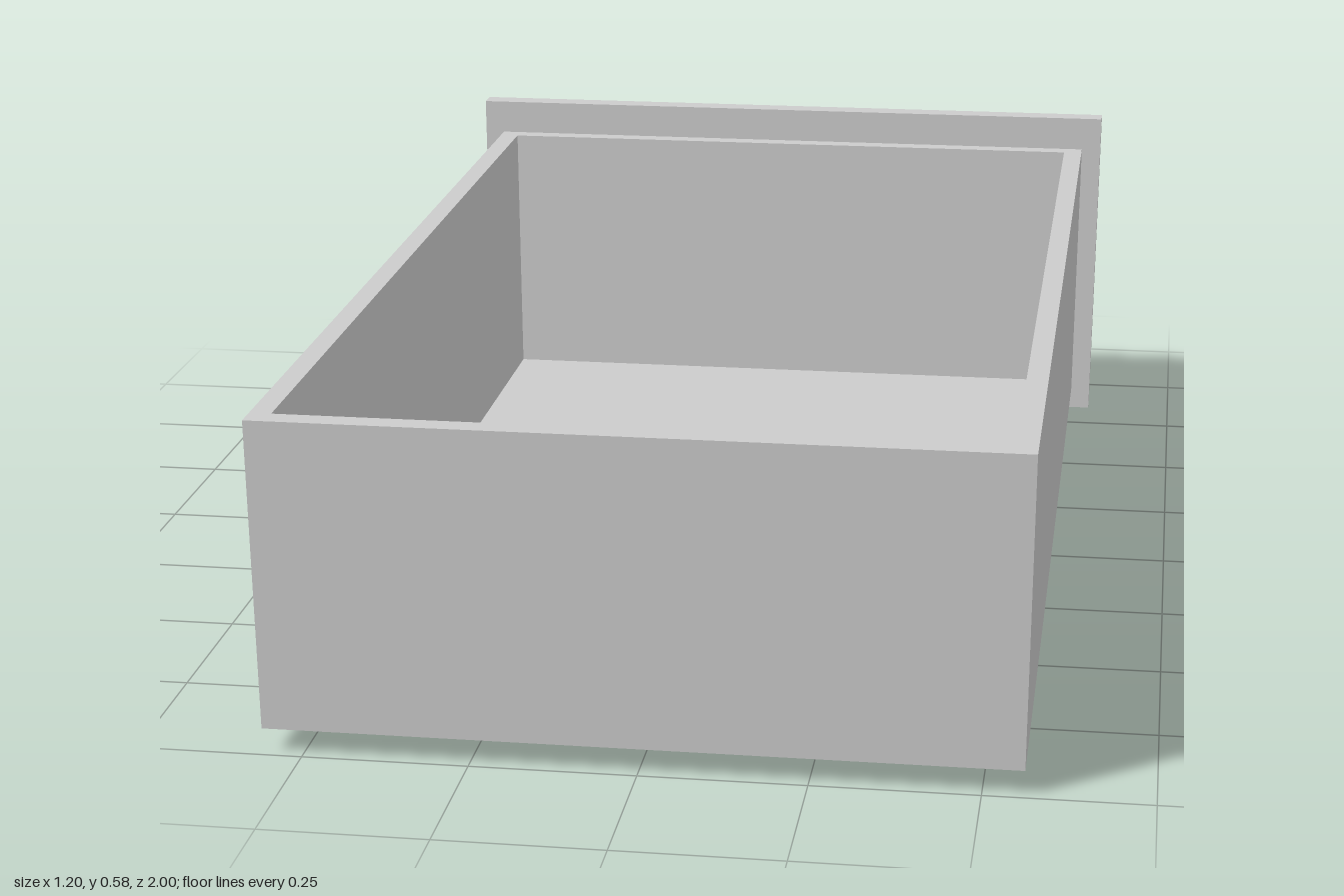
import * as THREE from 'three';

const material = new THREE.MeshStandardMaterial({ color: 0xcccccc });
const flat = new THREE.MeshStandardMaterial({ color: 0xcccccc, flatShading: true });

const HEIGHT = 0.578;

// The whole body narrows very slightly towards the bottom
function taper(geometry) {
  const p = geometry.attributes.position;
  for (let i = 0; i < p.count; i++) {
    const s = 1 - 0.0105 * (1 - p.getY(i) / HEIGHT);
    p.setX(i, p.getX(i) * s);
    p.setZ(i, p.getZ(i) * s);
  }
  geometry.computeVertexNormals();
  return geometry;
}

function rectangle(path, x, y0, y1) {
  path.moveTo(-x, y0);
  path.lineTo(x, y0);
  path.lineTo(x, y1);
  path.lineTo(-x, y1);
  path.closePath();
  return path;
}

function addMesh(group, name, geometry, mat = flat) {
  const mesh = new THREE.Mesh(geometry, mat);
  mesh.name = name;
  group.add(mesh);
  return mesh;
}

export function createModel() {
  const model = new THREE.Group();
  model.name = 'drawer';

  // Four walls as one rectangular ring, extruded upward (shape y becomes -z)
  const bottom = 0.038, top = 0.518, floorTop = 0.062;
  const ring = rectangle(new THREE.Shape(), 0.567, -1.001, 0.857);
  ring.holes.push(rectangle(new THREE.Path(), 0.534, -0.965, 0.826));
  const walls = new THREE.ExtrudeGeometry(ring, { depth: top - bottom, bevelEnabled: false });
  walls.rotateX(-Math.PI / 2).translate(0, bottom, 0);
  addMesh(model, 'walls', taper(walls));

  // Floor board set inside the walls, flush with their lower edge
  const floor = new THREE.BoxGeometry(1.068, floorTop - bottom, 1.791);
  floor.translate(0, (bottom + floorTop) / 2, 0.0695);
  addMesh(model, 'floor', taper(floor));

  // Face panel: a straight slab at the rear
  const slab = new THREE.BoxGeometry(1.204, HEIGHT, 0.038);
  slab.translate(0, HEIGHT / 2, -0.875);
  addMesh(model, 'panelSlab', taper(slab));

  // Chamfered outer half of the panel: a box whose outer face is drawn in
  const chamfer = new THREE.BoxGeometry(1.204, HEIGHT, 0.038);
  const p = chamfer.attributes.position;
  for (let i = 0; i < p.count; i++) {
    if (p.getZ(i) < 0) {
      p.setX(i, p.getX(i) - Math.sign(p.getX(i)) * 0.038);
      p.setY(i, p.getY(i) - Math.sign(p.getY(i)) * 0.037);
    }
  }
  chamfer.translate(0, HEIGHT / 2, -0.913);
  addMesh(model, 'panelChamfer', taper(chamfer));

  // Round knob: short stem and flattened head, turned to point along -z
  const knob = new THREE.Group();
  knob.name = 'knob';
  const stem = new THREE.CylinderGeometry(0.028, 0.028, 0.04, 24);
  stem.translate(0, 0.015, 0);
  addMesh(knob, 'knobStem', stem, material);

  const profile = [new THREE.Vector2(0, 0.016)];
  for (let i = 0; i <= 14; i++) {
    const a = -Math.PI / 2 + (Math.PI * i) / 14;
    profile.push(new THREE.Vector2(0.03 + 0.044 * Math.cos(a), 0.042 + 0.026 * Math.sin(a)));
  }
  profile.push(new THREE.Vector2(0.015, 0.0705), new THREE.Vector2(0, 0.072));
  addMesh(knob, 'knobHead', new THREE.LatheGeometry(profile, 32), material);
  knob.rotation.x = -Math.PI / 2;
  knob.position.set(0, 0.293, -0.928);
  model.add(knob);

  return model;
}
